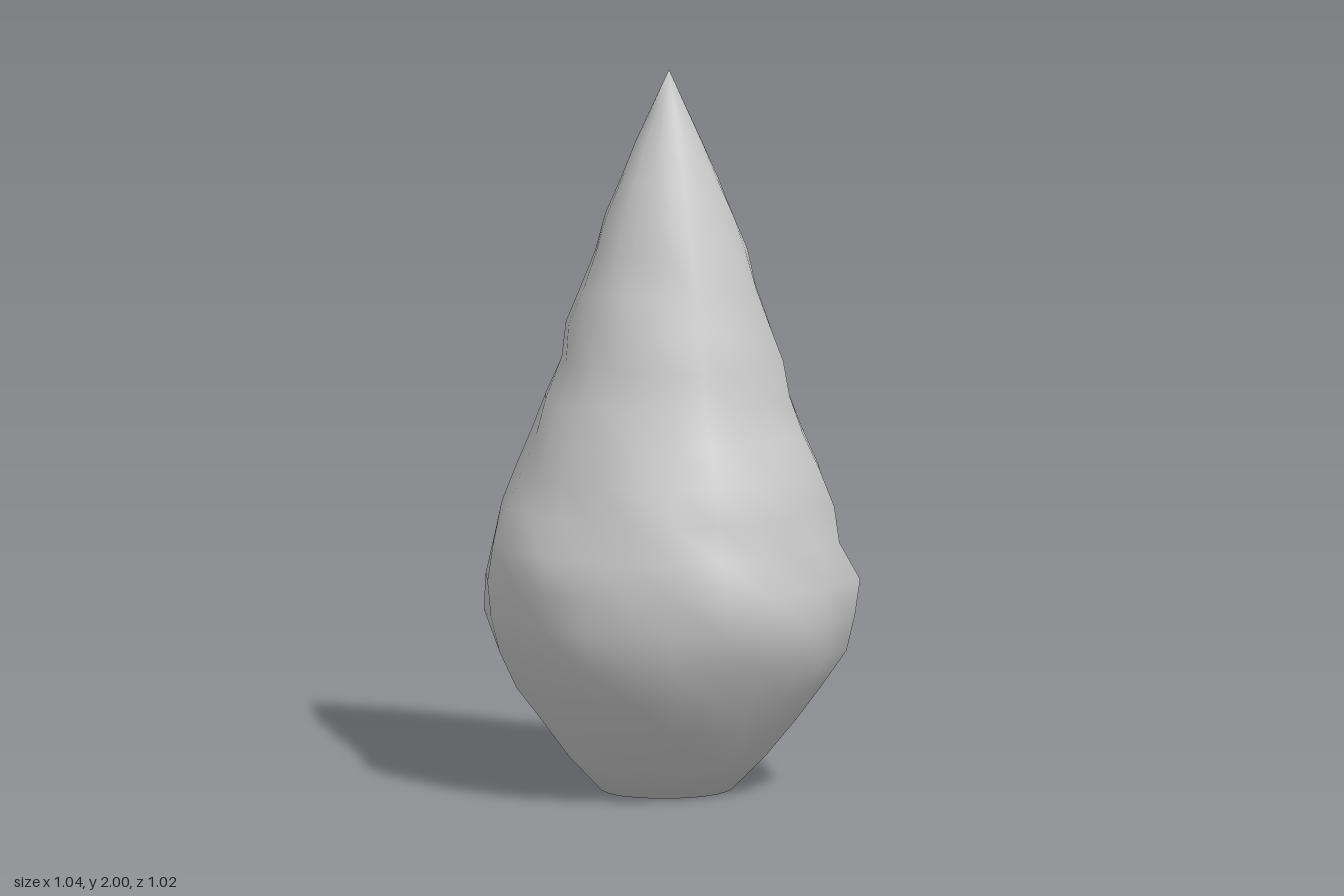
import * as THREE from 'three';
import { mergeVertices } from 'three/addons/utils/BufferGeometryUtils.js';

// Radius at every 0.1 of height, towards the front, left, back and right
const PROFILES = [
  [.20, .29, .37, .43, .48, .505, .51, .51, .45, .43, .385, .36, .305, .29, .25, .21, .183, .14, .095, .048, 0],
  [.18, .275, .36, .43, .50, .52, .515, .47, .465, .43, .385, .335, .33, .285, .255, .22, .18, .14, .095, .048, 0],
  [.17, .27, .35, .41, .455, .48, .515, .445, .425, .40, .35, .345, .305, .27, .24, .21, .175, .135, .09, .045, 0],
  [.18, .27, .345, .42, .465, .50, .525, .475, .46, .41, .365, .335, .295, .275, .24, .20, .165, .13, .09, .045, 0],
];

// Widest radius in each of 24 directions, from the front round by the left
const GIRTH = [
  .51, .52, .529, .517, .545, .543, .515, .51, .537, .495, .508, .51,
  .515, .468, .50, .516, .52, .495, .525, .488, .50, .52, .537, .517,
];
const SIDES = GIRTH.length;
const ROWS = 20;

function seededRandom(seed) {
  return () => {
    seed = (seed * 16807) % 2147483647;
    return seed / 2147483647;
  };
}

// Blend the four profiles round the axis and add the girth's irregularity
function radiusAt(row, side, bump) {
  const turn = (side / SIDES) * 4;
  const quarter = Math.floor(turn);
  const t = turn - quarter;
  const base = THREE.MathUtils.lerp(PROFILES[quarter][row], PROFILES[(quarter + 1) % 4][row], t);
  if (t === 0) return base;
  const belly = Math.max(0, 1 - Math.abs(row - 6) / 4);
  const girth = 1 + (GIRTH[side] / 0.515 - 1) * (0.2 + 0.6 * belly);
  const fade = row === 0 ? 0 : Math.min(1, (ROWS - row) / 5);
  return base * girth * (0.99 + bump * fade);
}

export function createModel() {
  const group = new THREE.Group();
  group.name = 'unevenTeardrop';
  const grey = new THREE.MeshStandardMaterial({ color: 0xc8c8c8 });
  grey.name = 'plain grey';

  // Lathe with a closed base, rows evenly spaced up to the tip
  const points = [new THREE.Vector2(0, 0)];
  for (let row = 0; row <= ROWS; row++) points.push(new THREE.Vector2(row < ROWS ? 1 : 0, row * 0.1));
  let body = new THREE.LatheGeometry(points, SIDES);

  // Push each ring vertex to its own radius
  const random = seededRandom(71);
  const bumps = Array.from({ length: SIDES * (ROWS + 1) }, () => (random() - 0.5) * 0.05);
  const pos = body.attributes.position;
  for (let i = 0; i < pos.count; i++) {
    const row = (i % points.length) - 1;
    const side = Math.floor(i / points.length) % SIDES;
    const angle = (side / SIDES) * Math.PI * 2;
    const r = row < 0 ? 0 : radiusAt(row, side, bumps[row * SIDES + side]);
    pos.setXYZ(i, r * Math.sin(angle), Math.max(row, 0) * 0.1, r * Math.cos(angle));
  }

  // Weld the seam and poles for smooth shading
  body.deleteAttribute('uv');
  body.deleteAttribute('normal');
  body = mergeVertices(body, 1e-4);
  body.computeVertexNormals();

  const mesh = new THREE.Mesh(body, grey);
  mesh.name = 'body';
  group.add(mesh);
  return group;
}
